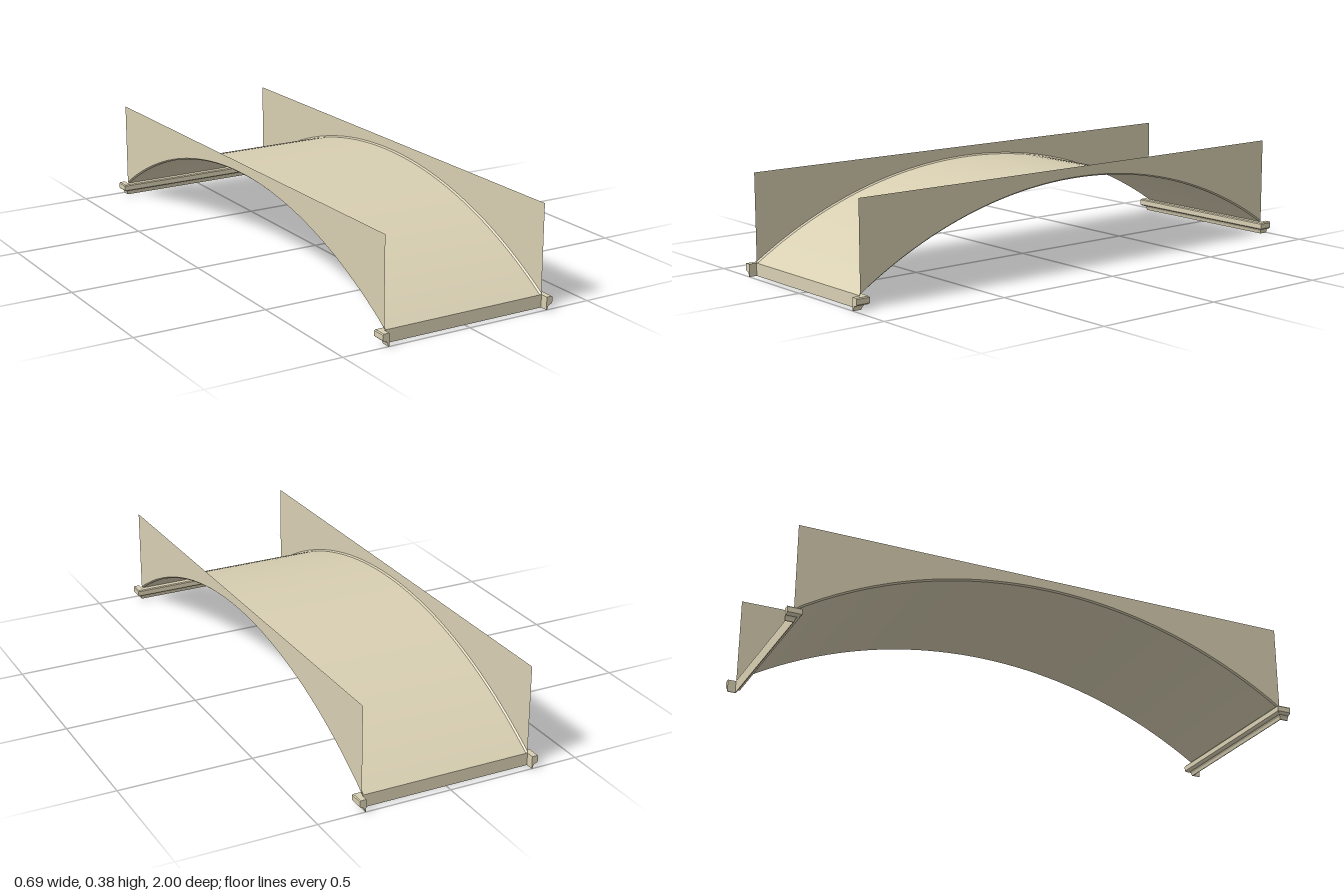
import * as THREE from 'three';

const HALF_W = 0.322;       // half width of the vault
const SPRING = 0.047;       // height where the arch springs
const SPAN = 0.969;         // half span
const CROWN = 0.334;        // height of the crown
const WALL_TOP = 0.375;
const RISE = CROWN - SPRING;
const R = (SPAN * SPAN + RISE * RISE) / (2 * RISE);
const CENTRE_Y = CROWN - R;
const ANGLE = Math.asin(SPAN / R);
const STEPS = 48;

// Point on the arch, lifted radially by "lift"
function archPoint(i, lift = 0) {
  const a = -ANGLE + (2 * ANGLE * i) / STEPS;
  return { z: Math.sin(a) * (R + lift), y: CENTRE_Y + Math.cos(a) * (R + lift) };
}

// Strip across the arch between two edges [x, lift], smooth along the curve
function archStrip([x0, l0], [x1, l1]) {
  const geo = new THREE.PlaneGeometry(1, 1, 1, STEPS);
  const pos = geo.attributes.position;
  for (let i = 0; i <= STEPS; i++) {
    const a = archPoint(i, l0), b = archPoint(i, l1);
    pos.setXYZ(i * 2, x0, a.y, a.z);
    pos.setXYZ(i * 2 + 1, x1, b.y, b.z);
  }
  geo.computeVertexNormals();
  return geo;
}

// Flat spandrel with its lower edge following the arch
function wallGeometry(lift) {
  const shape = new THREE.Shape();
  shape.moveTo(-SPAN, WALL_TOP);
  for (let i = 0; i <= STEPS; i++) {
    const p = archPoint(i, lift);
    shape.lineTo(THREE.MathUtils.clamp(p.z, -SPAN, SPAN), p.y);
  }
  shape.lineTo(SPAN, WALL_TOP);
  return new THREE.ShapeGeometry(shape).rotateY(-Math.PI / 2);
}

// Moulding profile: [distance out from the pier, height]
const PROFILE = [
  [0, 0], [0.003, 0], [0.006, 0.011], [0.010, 0.017], [0.018, 0.019],
  [0.024, 0.024], [0.024, 0.043], [0.021, 0.047], [0, 0.047],
];

// Moulding swept round three sides of the pier with mitred corners
function imposteGeometry() {
  const inner = 0.97;
  const ring = (d) => [
    [-HALF_W - d, 1], [-HALF_W - d, inner - d], [HALF_W + d, inner - d], [HALF_W + d, 1],
  ];
  const verts = [];
  const quad = (a, b, c, d) => verts.push(...a, ...b, ...c, ...a, ...c, ...d);
  PROFILE.forEach(([d0, y0], k) => {
    const [d1, y1] = PROFILE[(k + 1) % PROFILE.length];
    const lo = ring(d0), hi = ring(d1);
    for (let s = 0; s < 3; s++) {
      quad(
        [lo[s][0], y0, lo[s][1]], [hi[s][0], y1, hi[s][1]],
        [hi[s + 1][0], y1, hi[s + 1][1]], [lo[s + 1][0], y0, lo[s + 1][1]],
      );
    }
  });
  // End caps on the open ends
  const pts = PROFILE.map(([d, y]) => new THREE.Vector2(d, y));
  for (const [a, b, c] of THREE.ShapeUtils.triangulateShape(pts, [])) {
    for (const i of [a, b, c]) verts.push(HALF_W + pts[i].x, pts[i].y, 1);
    for (const i of [a, c, b]) verts.push(-HALF_W - pts[i].x, pts[i].y, 1);
  }
  const geo = new THREE.BufferGeometry();
  geo.setAttribute('position', new THREE.Float32BufferAttribute(verts, 3));
  geo.computeVertexNormals();
  return geo;
}

export function createModel() {
  const stone = new THREE.MeshStandardMaterial({ color: 0xd8cfb2, side: THREE.DoubleSide });
  stone.name = 'pale stone';
  const model = new THREE.Group();
  model.name = 'archSpan';
  const add = (name, geo) => {
    const mesh = new THREE.Mesh(geo, stone);
    mesh.name = name;
    model.add(mesh);
    return mesh;
  };

  // Curved vault sheet with a small chamfer along each side
  const bevel = 0.006, lift = 0.005;
  add('vault', archStrip([HALF_W - bevel, 0], [-HALF_W + bevel, 0]));
  add('leftChamfer', archStrip([HALF_W, lift], [HALF_W - bevel, 0]));
  add('rightChamfer', archStrip([-HALF_W + bevel, 0], [-HALF_W, lift]));

  // Spandrel walls
  const wall = wallGeometry(lift);
  add('leftWall', wall).position.x = HALF_W;
  add('rightWall', wall).position.x = -HALF_W;

  // Moulded imposts under both springings
  const impost = imposteGeometry();
  add('frontImpost', impost);
  add('backImpost', impost).rotation.y = Math.PI;

  return model;
}
